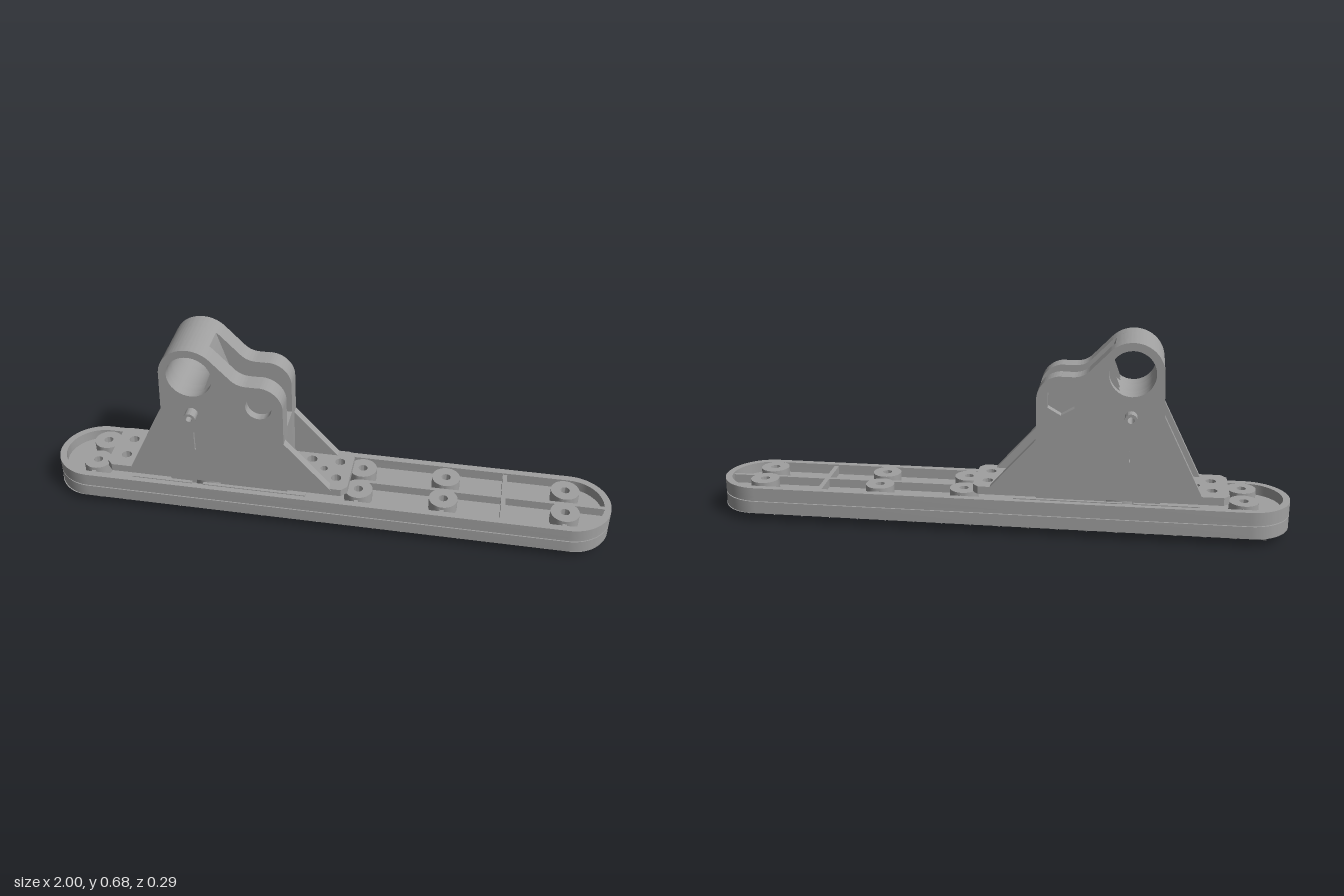
import * as THREE from 'three';
import { toCreasedNormals } from 'three/addons/utils/BufferGeometryUtils.js';

const HOLE_X = [-0.84, -0.42, 0.12, 0.42, 0.84], HOLE_Z = 0.058;
const BOTTOM = 0.003, BEVEL_TOP = 0.03, FLAT_Z = 0.075, HALF_Z = 0.145;

const circle = (x, y, r) => new THREE.Path().absarc(x, y, r, 0, Math.PI * 2, true);
const disc = (x, y, r) => new THREE.Shape().absarc(x, y, r, 0, Math.PI * 2, false);

// Long outline with round ends
function stadium(halfX, halfZ, Type = THREE.Shape) {
  const c = halfX - halfZ;
  const s = new Type();
  s.moveTo(-c, -halfZ).lineTo(c, -halfZ);
  s.absarc(c, 0, halfZ, -Math.PI / 2, Math.PI / 2, false);
  s.lineTo(-c, halfZ);
  s.absarc(-c, 0, halfZ, Math.PI / 2, Math.PI * 1.5, false);
  return s;
}

// Height of the sole's underside at a given z
const underside = z =>
  BOTTOM + (BEVEL_TOP - BOTTOM) * Math.max(0, (Math.abs(z) - FLAT_Z) / (HALF_Z - FLAT_Z));

export function createModel() {
  const model = new THREE.Group();
  const grey = new THREE.MeshStandardMaterial({ color: 0xa0a0a0, side: THREE.DoubleSide });
  grey.name = 'grey';

  const add = (name, geo, parent = model) => {
    const m = new THREE.Mesh(geo, grey);
    m.name = name;
    parent.add(m);
    return m;
  };
  const extrude = (shape, depth) => toCreasedNormals(
    new THREE.ExtrudeGeometry(shape, { depth, bevelEnabled: false, curveSegments: 20 }), 0.5);
  // Plan shape raised from y0 to y1
  const slab = (name, shape, y0, y1, parent) =>
    add(name, extrude(shape, y1 - y0).rotateX(-Math.PI / 2).translate(0, y0, 0), parent);
  // Side profile running from z0 to z1
  const plate = (name, shape, z0, z1, parent) =>
    add(name, extrude(shape, z1 - z0).translate(0, 0, z0), parent);
  const box = (name, x0, x1, y0, y1, z0, z1, parent) =>
    add(name, new THREE.BoxGeometry(x1 - x0, y1 - y0, z1 - z0)
      .translate((x0 + x1) / 2, (y0 + y1) / 2, (z0 + z1) / 2), parent);
  const eachHole = fn => HOLE_X.forEach(x => [-1, 1].forEach(s => fn(x, s * HOLE_Z, s)));

  // ---- Sole: pierced slab, sloping underside and tread ----
  const sole = new THREE.Group();
  sole.name = 'sole';
  model.add(sole);
  const R = 0.033, a = Math.asin((FLAT_Z - HOLE_Z) / R), c = 0.87;
  const soleShape = stadium(1, HALF_Z);
  eachHole((x, z) => soleShape.holes.push(circle(x, z, R)));
  slab('soleSlab', soleShape, BEVEL_TOP, 0.074, sole);

  // flat underside with notches where the bolt recesses cross its edge
  const flat = new THREE.Shape();
  flat.moveTo(-c, FLAT_Z);
  HOLE_X.forEach(x => flat.absarc(x, HOLE_Z, R, Math.PI - a, Math.PI * 2 + a, false));
  flat.lineTo(c, FLAT_Z);
  flat.absellipse(c, 0, 0.068, FLAT_Z, Math.PI / 2, -Math.PI / 2, true);
  [...HOLE_X].reverse().forEach(x => flat.absarc(x, -HOLE_Z, R, -a, Math.PI + a, false));
  flat.lineTo(-c, -FLAT_Z);
  flat.absellipse(-c, 0, 0.068, FLAT_Z, -Math.PI / 2, -Math.PI * 1.5, true);
  add('soleBottom', new THREE.ShapeGeometry(flat, 20).rotateX(Math.PI / 2).translate(0, BOTTOM, 0), sole);

  // sloping sides
  const side = new THREE.Shape();
  side.moveTo(-c, FLAT_Z);
  HOLE_X.forEach(x => side.absarc(x, HOLE_Z, R, Math.PI - a, a, true));
  side.lineTo(c, FLAT_Z).lineTo(c, HALF_Z).lineTo(-c, HALF_Z);
  for (const s of [0, Math.PI]) {
    const g = new THREE.ShapeGeometry(side, 20).rotateX(Math.PI / 2).rotateY(s);
    const p = g.attributes.position;
    for (let i = 0; i < p.count; i++) p.setY(i, underside(p.getZ(i)));
    g.computeVertexNormals();
    add('soleSlope', g, sole);
    // sloping round end
    add('soleEnd', new THREE.CylinderGeometry(HALF_Z, FLAT_Z, BEVEL_TOP - BOTTOM, 32, 1, true, 0, Math.PI)
      .scale(0.9, 1, 1).translate(c, (BEVEL_TOP + BOTTOM) / 2, 0).rotateY(s), sole);
  }
  eachHole((x, z) => {
    const g = new THREE.CylinderGeometry(R, R, 1, 24, 1, true).translate(x, 0, z);
    const p = g.attributes.position;
    for (let i = 0; i < p.count; i++) p.setY(i, p.getY(i) > 0 ? 0.04 : underside(p.getZ(i)));
    add('boltRecess', g, sole);
  });
  // curved tread lines
  for (let i = 0; i < 19; i++) {
    const x = -0.915 + i * 0.1;
    const reach = Math.abs(x) > 0.87 ? 0.12 : 0.142;
    const pts = [-1, -0.75, -0.53, -0.25, 0, 0.25, 0.53, 0.75, 1].map(t => {
      const z = t * reach;
      return new THREE.Vector3(x + 0.025 * (1 - t * t), underside(z), z);
    });
    add('treadLine', new THREE.TubeGeometry(new THREE.CatmullRomCurve3(pts), 24, 0.003, 5), sole);
  }

  // ---- Tray with rim, bosses and ribs ----
  const tray = new THREE.Group();
  tray.name = 'tray';
  model.add(tray);
  const seam = stadium(0.994, 0.139), floor = stadium(1, HALF_Z), rim = stadium(1, HALF_Z);
  eachHole((x, z) => [seam, floor].forEach(s => s.holes.push(circle(x, z, 0.016))));
  rim.holes.push(stadium(0.976, 0.121, THREE.Path));
  slab('seam', seam, 0.073, 0.079, tray);
  slab('trayFloor', floor, 0.078, 0.088, tray);
  slab('trayRim', rim, 0.088, 0.125, tray);
  eachHole((x, z, s) => {
    const ring = disc(x, z, 0.05);
    ring.holes.push(circle(x, z, 0.016));
    slab('boss', ring, 0.088, 0.131, tray);
    box('bossWeb', x - 0.007, x + 0.007, 0.088, 0.12, Math.min(s * 0.105, s * 0.125), Math.max(s * 0.105, s * 0.125), tray);
  });
  box('longRib', 0.12, 0.976, 0.088, 0.119, -0.007, 0.007, tray);
  box('crossRib', 0.62, 0.636, 0.088, 0.119, -0.122, 0.122, tray);
  for (const s of [-1, 1])
    for (const [x0, x1] of [[-0.69, -0.47], [-0.43, -0.06]])
      box('rimLedge', x0, x1, 0.088, 0.128, s * 0.119 - 0.006, s * 0.119 + 0.006, tray);

  // ---- Bracket ----
  const bracket = new THREE.Group();
  bracket.name = 'bracket';
  model.add(bracket);
  const BX = -0.45, BY = 0.577, SX = -0.217, SY = 0.478;

  // foot with bolt holes at both ends
  const foot = new THREE.Shape();
  foot.moveTo(-0.77, -0.108).lineTo(0.065, -0.108).lineTo(0.085, -0.085).lineTo(0.085, 0.085)
    .lineTo(0.065, 0.108).lineTo(-0.77, 0.108).lineTo(-0.79, 0.085).lineTo(-0.79, -0.085);
  for (const x of [-0.682, -0.013]) {
    foot.holes.push(circle(x, 0, 0.013));
    for (const dx of [-0.051, 0.051])
      for (const z of [-0.045, 0.045]) foot.holes.push(circle(x + dx, z, 0.018));
  }
  slab('foot', foot, 0.13, 0.158, bracket);

  // outline shared by the plates; the wide one has sloping gussets
  const outline = wide => {
    const s = new THREE.Shape();
    if (wide) s.moveTo(-0.7, 0.15).lineTo(-0.56, 0.435);
    else s.moveTo(-0.56, 0.09);
    s.lineTo(-0.555, BY);
    s.absarc(BX, BY, 0.105, Math.PI, 0.72, true);
    s.lineTo(-0.31, 0.583);
    s.quadraticCurveTo(-0.288, 0.56, -0.255, 0.56);
    s.lineTo(SX, 0.56);
    s.absarc(SX, SY, 0.083, Math.PI / 2, 0, true);
    if (wide) s.lineTo(-0.134, 0.335).lineTo(0.03, 0.15);
    else s.lineTo(-0.134, 0.09);
    s.holes.push(circle(BX, BY, 0.078), circle(BX, 0.43, 0.011));
    return s;
  };
  const slit = () => new THREE.Path().setFromPoints([[-0.452, 0.27], [-0.452, 0.345], [-0.448, 0.345], [-0.448, 0.27]]
    .map(p => new THREE.Vector2(...p)));

  const front = outline(true), back = outline(true), cheek = outline(false);
  front.holes.push(circle(SX, SY, 0.045), slit());
  const hex = [...Array(6)].map((_, i) => new THREE.Vector2(
    SX + 0.052 * Math.cos(i * Math.PI / 3 + Math.PI / 6), SY + 0.052 * Math.sin(i * Math.PI / 3 + Math.PI / 6)));
  back.holes.push(new THREE.Path().setFromPoints(hex), slit());
  cheek.holes.push(circle(SX, SY, 0.036));
  plate('frontPlate', front, 0.08, 0.109, bracket);
  plate('backPlate', back, -0.109, -0.08, bracket);
  plate('frontCheek', cheek, 0.043, 0.08, bracket);
  plate('backCheek', cheek, -0.08, -0.043, bracket);

  // core, cut away to leave the slot between the cheeks
  const core = new THREE.Shape();
  core.moveTo(-0.56, 0.09).lineTo(-0.555, BY);
  core.absarc(BX, BY, 0.105, Math.PI, 0.963, true);
  core.absarc(SX, SY, 0.115, Math.PI, Math.PI * 1.5, false);
  core.lineTo(-0.134, 0.363).lineTo(-0.134, 0.09);
  core.holes.push(circle(BX, BY, 0.078), circle(BX, 0.43, 0.011));
  plate('core', core, -0.043, 0.043, bracket);

  // hollow pins on both faces
  const pin = disc(BX, 0.43, 0.021);
  pin.holes.push(circle(BX, 0.43, 0.011));
  plate('frontPin', pin, 0.105, 0.146, bracket);
  plate('backPin', pin, -0.146, -0.105, bracket);

  return model;
}
